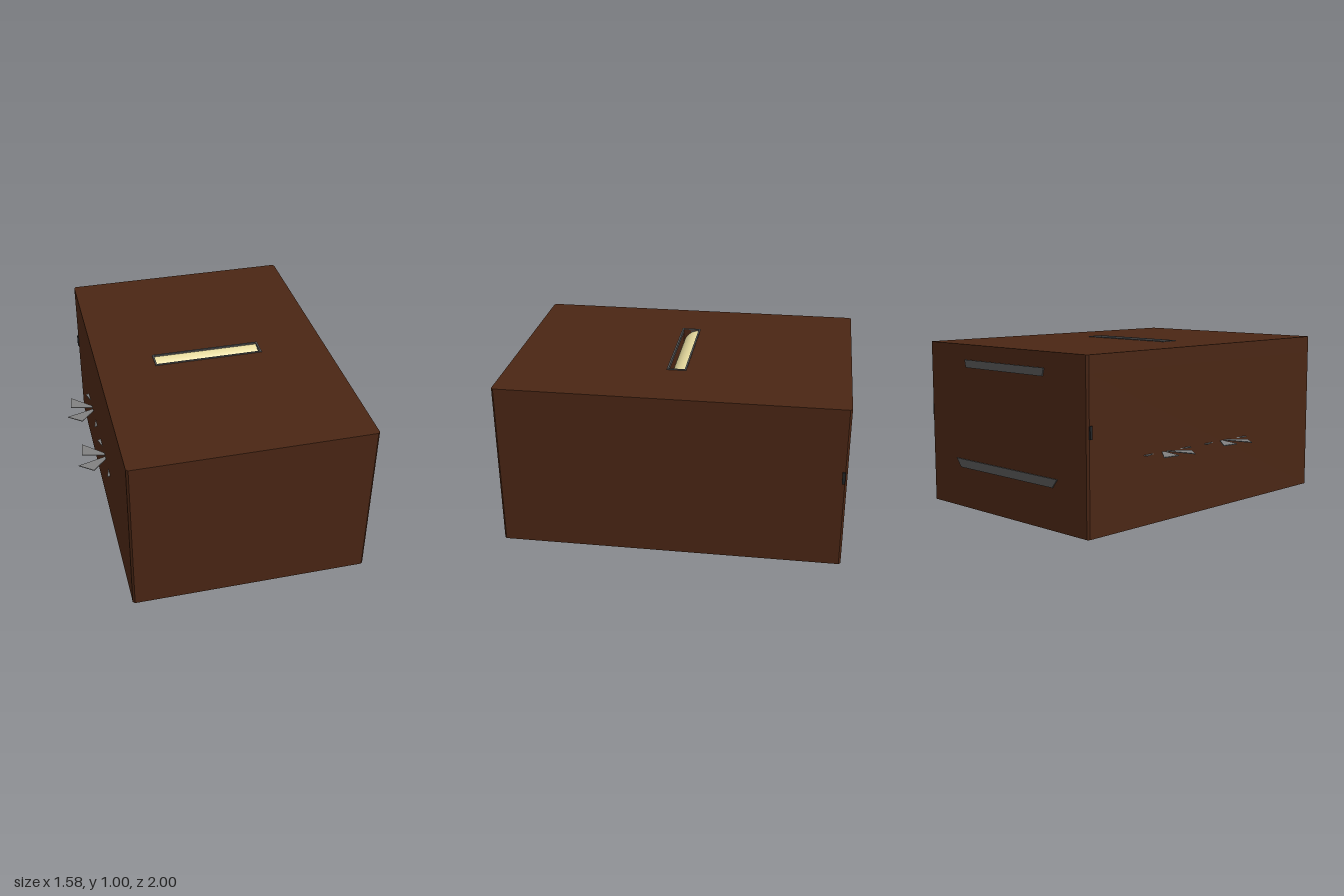
import * as THREE from 'three';

const paint = (color) => new THREE.MeshStandardMaterial({ color, side: THREE.DoubleSide });
const WOOD = paint(0x4a2614);
const DARK = paint(0x222426);
const STEEL = paint(0x555555);
const BLADE = paint(0x808080);
const CREAM = paint(0xe8dca0);

export function createModel() {
  const model = new THREE.Group();

  const add = (name, geometry, material, parent = model) => {
    const mesh = new THREE.Mesh(geometry, material);
    mesh.name = name;
    parent.add(mesh);
    return mesh;
  };

  // Box given by its limits on each axis
  const block = (name, [x0, x1], [y0, y1], [z0, z1], material) => {
    const mesh = add(name, new THREE.BoxGeometry(x1 - x0, y1 - y0, z1 - z0), material);
    mesh.position.set((x0 + x1) / 2, (y0 + y1) / 2, (z0 + z1) / 2);
    return mesh;
  };

  // Rectangle outline in plan (shape y = -z), corners cut by c
  const outline = (x0, x1, z0, z1, c = 0, Type = THREE.Shape) => {
    const a = -z1, b = -z0;
    const points = c
      ? [[x0 + c, a], [x1 - c, a], [x1, a + c], [x1, b - c], [x1 - c, b], [x0 + c, b], [x0, b - c], [x0, a + c]]
      : [[x0, a], [x1, a], [x1, b], [x0, b]];
    return new Type(points.map(([x, y]) => new THREE.Vector2(x, y)));
  };

  // Plan shape extruded upwards from y0 to y1
  const slab = (name, shape, y0, y1, material) => {
    const geometry = new THREE.ExtrudeGeometry(shape, { depth: y1 - y0, bevelEnabled: false });
    geometry.rotateX(-Math.PI / 2).translate(0, y0, 0);
    return add(name, geometry, material);
  };

  // Cabinet: closed lower body and a thick lid with a slot
  const cabinet = () => outline(-0.62, 0.78, -0.993, 1, 0.012);
  slab('cabinetBody', cabinet(), 0.015, 0.9, WOOD);
  const lid = cabinet();
  lid.holes.push(outline(-0.265, 0.375, -0.035, 0.063, 0, THREE.Path));
  slab('cabinetLid', lid, 0.9, 0.998, WOOD);

  // Rim around the slot
  const rim = outline(-0.275, 0.382, -0.043, 0.071);
  rim.holes.push(outline(-0.265, 0.372, -0.033, 0.061, 0, THREE.Path));
  slab('slotRim', rim, 0.98, 1.003, STEEL);

  // Curved sheet sloping down towards the front inside the slot
  const sheet = new THREE.CylinderGeometry(0.1, 0.1, 0.64, 16, 1, true, 0, Math.PI / 2);
  sheet.rotateZ(Math.PI / 2);
  // Keep the arc on the upper front quarter, whatever the roll of the cylinder
  sheet.rotateX(0);
  const pos = sheet.attributes.position;
  for (let i = 0; i < pos.count; i++) {
    pos.setXYZ(i, pos.getX(i), Math.abs(pos.getY(i)), Math.abs(pos.getZ(i)));
  }
  sheet.computeVertexNormals();
  add('slotSheet', sheet, CREAM).position.set(0.055, 0.893, -0.036);

  // Back bars: trapezoids, narrower at the bottom
  for (const [name, x0, x1, y0, y1, inset] of [
    ['upperBackBar', -0.28, 0.43, 0.862, 0.908, 0.012],
    ['lowerBackBar', -0.38, 0.53, 0.257, 0.308, 0.04],
  ]) {
    const bar = new THREE.Shape([
      new THREE.Vector2(x0 + inset, y0), new THREE.Vector2(x1 - inset, y0),
      new THREE.Vector2(x1, y1), new THREE.Vector2(x0, y1),
    ]);
    const geometry = new THREE.ExtrudeGeometry(bar, { depth: 0.012, bevelEnabled: false });
    add(name, geometry, STEEL).position.z = -1;
  }

  // Side catches near the back edge
  block('leftCatch', [0.77, 0.788], [0.548, 0.62], [-0.982, -0.965], DARK);
  block('rightCatch', [-0.628, -0.61], [0.553, 0.625], [-0.982, -0.965], DARK);

  // Fans: six flat blades each, partly sunk into the right wall
  const blade = new THREE.Shape([[0, 0], [0.205, -0.05], [0.165, 0.05]].map(([x, y]) => new THREE.Vector2(x, y)));
  const bladeGeometry = new THREE.ExtrudeGeometry(blade, { depth: 0.005, bevelEnabled: false });
  bladeGeometry.rotateX(-Math.PI / 2);
  for (const [name, z] of [['backFan', -0.395], ['frontFan', 0.12]]) {
    const fan = new THREE.Group();
    fan.name = name;
    fan.position.set(-0.59, 0.412, z);
    for (let i = 0; i < 6; i++) {
      add('fanBlade', bladeGeometry, BLADE, fan).rotation.y = (i * Math.PI) / 3 - 2.61;
    }
    model.add(fan);
  }

  // Underside: dark panel, its thin border and flush plates
  block('bottomPanel', [0.08, 0.752], [0, 0.016], [-0.335, 0.34], DARK);
  block('panelBorder', [0.055, 0.07], [0.012, 0.02], [-0.35, 0.34], BLADE);
  block('crossStrip', [-0.6, 0.07], [0.012, 0.02], [-0.36, -0.345], BLADE);
  block('rearPlate', [-0.09, 0.21], [0.012, 0.02], [-0.77, -0.56], BLADE);
  block('frontPlate', [-0.31, 0.01], [0.012, 0.02], [0.02, 0.3], BLADE);
  block('sidePlate', [-0.6, -0.4], [0.012, 0.02], [-0.33, -0.14], BLADE);

  return model;
}
